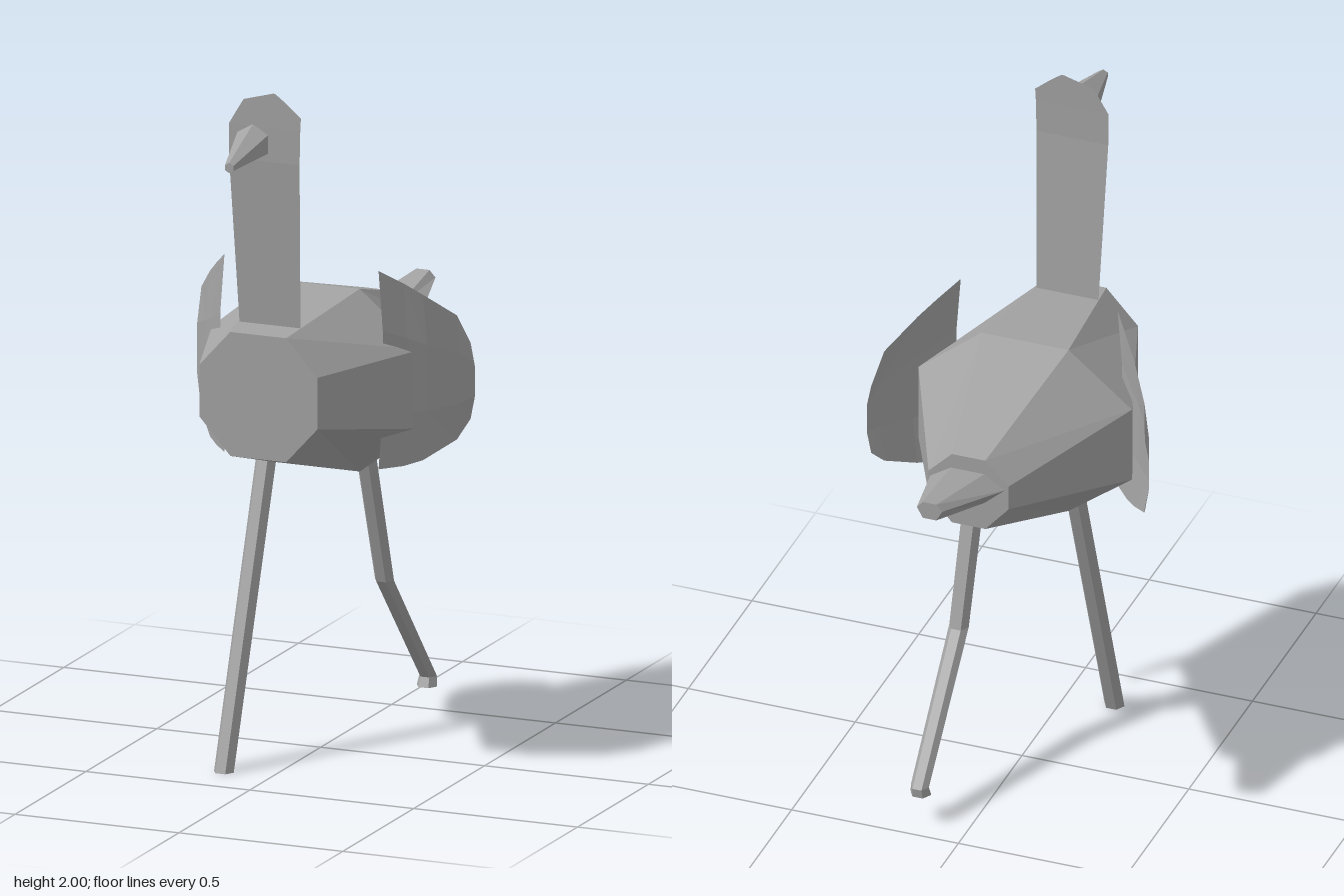
import * as THREE from 'three';

const grey = new THREE.MeshStandardMaterial({ color: 0xa3a3a3, side: THREE.DoubleSide, flatShading: true });
grey.name = 'plainGrey';

// Joins equal-length cross-sections; closed ones wrap around and get end caps.
function loft(name, rings, closed = true) {
  const pos = [];
  const tri = (a, b, c) => pos.push(...a, ...b, ...c);
  const n = rings[0].length;
  for (let i = 0; i < rings.length - 1; i++) {
    for (let j = 0; j < (closed ? n : n - 1); j++) {
      const k = (j + 1) % n, p = rings[i], q = rings[i + 1];
      tri(p[j], p[k], q[k]);
      tri(p[j], q[k], q[j]);
    }
  }
  if (closed) {
    const first = rings[0], last = rings[rings.length - 1];
    for (let j = 1; j < n - 1; j++) {
      tri(first[0], first[j + 1], first[j]);
      tri(last[0], last[j], last[j + 1]);
    }
  }
  const g = new THREE.BufferGeometry();
  g.setAttribute('position', new THREE.Float32BufferAttribute(pos, 3));
  g.computeVertexNormals();
  const mesh = new THREE.Mesh(g, grey);
  mesh.name = name;
  return mesh;
}

// Eight-sided body section: half widths and the four heights
const octagon = (z, wide, narrow, top, high, low, bottom) => [
  [wide, low, z], [wide, high, z], [narrow, top, z], [-narrow, top, z],
  [-wide, high, z], [-wide, low, z], [-narrow, bottom, z], [narrow, bottom, z]];

// Flattened six-sided tail section
const tailRing = (z, x, wide, narrow, top, mid, bottom) => [
  [x + wide, mid, z], [x + narrow, top, z], [x - narrow, top, z],
  [x - wide, mid, z], [x - narrow, bottom, z], [x + narrow, bottom, z]];

const six = [0, 1, 2, 3, 4, 5].map(i => (i + 0.5) * Math.PI / 3);
const beakRing = (z, x, y, r) => six.map(a => [x + r * Math.cos(a), y + r * Math.sin(a), z]);
const legRing = (x, y, z, r) => six.map(a => [x + r * Math.sin(a), y, z + r * Math.cos(a)]);

// Thin curved wing made of upright columns: x, z, top, bottom
function wing(name, side) {
  const columns = [
    [0.235, 0.135, 1.44, 0.865],
    [0.285, 0.075, 1.395, 0.865],
    [0.325, 0.03, 1.355, 0.875],
    [0.39, -0.06, 1.28, 0.92],
    [0.41, -0.11, 1.19, 0.97],
  ];
  const rows = columns.map(([x, z, top, bottom]) => [0, 0.3, 0.7, 1].map((t, i) =>
    [side * (x + (i % 3 ? 0.013 : 0)), bottom + (top - bottom) * t, z]));
  return loft(name, side > 0 ? rows.reverse() : rows, false);
}

export function createModel() {
  const model = new THREE.Group();
  model.name = 'longLeggedBird';

  // Body and tail
  model.add(loft('body', [
    octagon(-0.42, 0.12, 0.05, 1.225, 1.155, 1.08, 1.0),
    octagon(0.025, 0.32, 0.13, 1.35, 1.195, 0.965, 0.82),
    octagon(0.44, 0.18, 0.085, 1.305, 1.2, 1.05, 0.945),
  ]));
  model.add(loft('tail', [
    tailRing(-0.68, 0.018, 0.038, 0.02, 1.22, 1.2, 1.168),
    tailRing(-0.42, 0.003, 0.112, 0.05, 1.18, 1.14, 1.085),
  ]));

  // Flat upright neck with a rounded top: y, left edge, right edge, z
  model.add(loft('neck', [
    [1.31, -0.093, 0.093, 0.357],
    [1.8, -0.105, 0.11, 0.403],
    [1.9, -0.105, 0.113, 0.405],
    [1.937, -0.083, 0.115, 0.405],
    [1.975, -0.06, 0.07, 0.405],
    [2.0, 0.03, 0.036, 0.405],
  ].map(([y, x0, x1, z]) => [[x0, y, z], [x1, y, z]]), false));

  // Beak, set apart in front of the neck
  model.add(loft('beak', [
    beakRing(0.49, 0.005, 1.876, 0.054),
    beakRing(0.677, 0.014, 1.85, 0.015),
  ]));

  model.add(wing('leftWing', 1), wing('rightWing', -1));

  // Straight standing leg and bent raised leg
  model.add(loft('standingLeg', [
    legRing(-0.145, 0, 0.347, 0.03),
    legRing(-0.142, 0.87, 0.045, 0.031),
  ]));
  model.add(loft('raisedLeg', [
    legRing(0.142, 0.09, -0.422, 0.031),
    legRing(0.142, 0.118, -0.43, 0.027),
    legRing(0.141, 0.47, -0.125, 0.029),
    legRing(0.14, 0.87, 0.005, 0.031),
  ]));

  return model;
}
